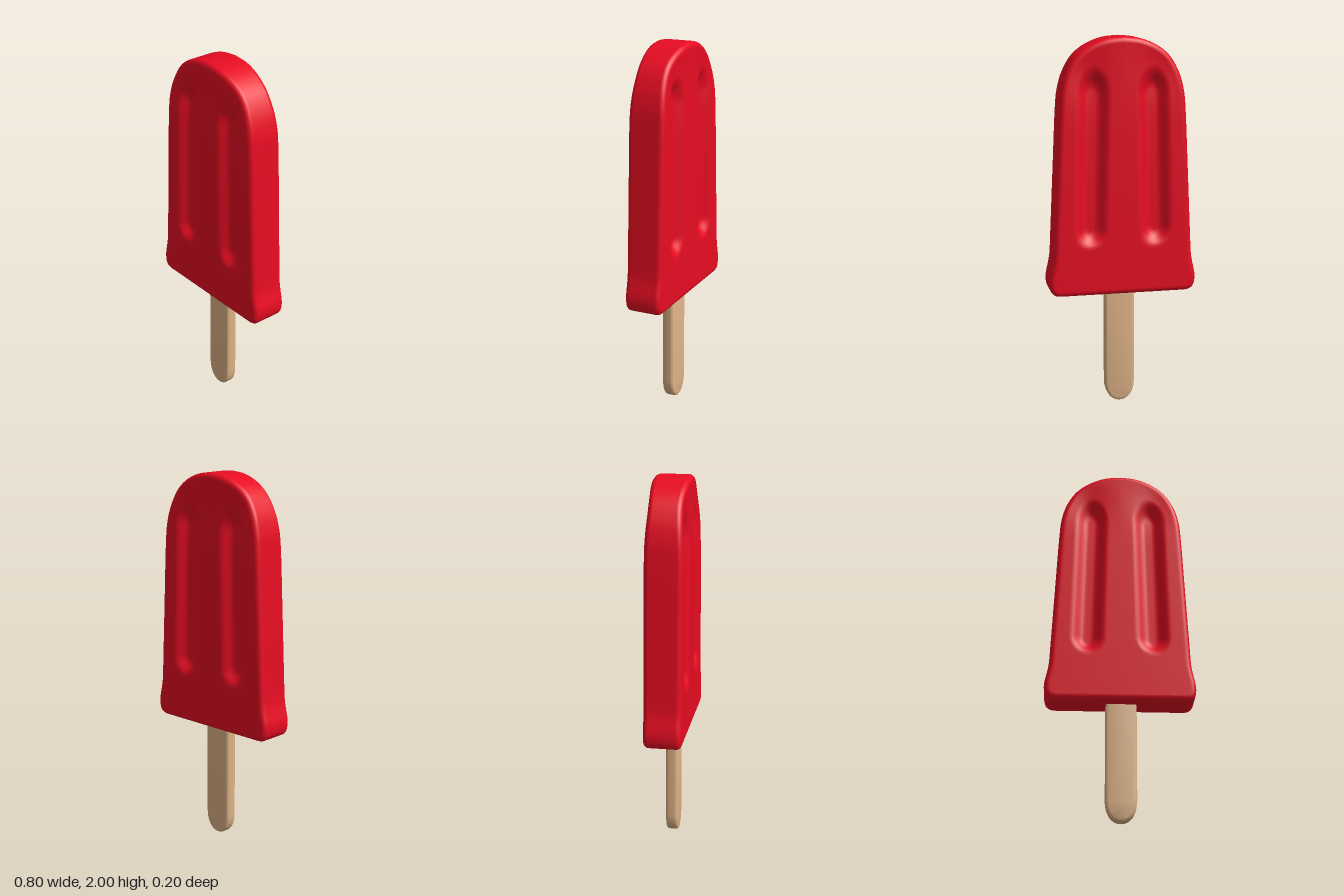
import * as THREE from 'three';
import { mergeVertices, toCreasedNormals } from 'three/addons/utils/BufferGeometryUtils.js';

const HALF = 0.1;    // half thickness of the ice
const ROUND = 0.028; // edge rounding

// How far the face sinks at (x, y): two long grooves plus soft shoulders above them
function faceDepth(x, y) {
  const ax = Math.abs(x);
  const t = THREE.MathUtils.clamp((y - 0.99) / 0.71, 0, 1);
  const dx = (ax - THREE.MathUtils.lerp(0.175, 0.158, t)) / 0.09;
  const over = y > 1.7 ? (y - 1.7) / 0.15 : y < 0.99 ? (0.99 - y) / 0.1 : 0;
  const d = Math.hypot(dx, over);
  const groove = 0.04 * (1 - THREE.MathUtils.smoothstep(d, 0.25, 1));
  const shoulder = 0.014 * Math.exp(-(((ax - 0.2) / 0.11) ** 2) - ((y - 1.83) / 0.14) ** 2);
  return groove + shoulder;
}

function iceGeometry() {
  // Right half of the outline, from the bottom corner up to the top centre
  const curve = new THREE.SplineCurve([
    [0.335, 0.63], [0.365, 0.634], [0.388, 0.652], [0.398, 0.685], [0.397, 0.73], [0.385, 0.785],
    [0.376, 0.84], [0.37, 0.95], [0.353, 1.3], [0.337, 1.62], [0.325, 1.73], [0.298, 1.82],
    [0.25, 1.9], [0.18, 1.955], [0.09, 1.99], [0, 2],
  ].map(([x, y]) => new THREE.Vector2(x, y)));
  const N = 100, COLS = 56;
  const half = [];
  for (let i = 0; i <= N; i++) {
    const p = curve.getPointAt(i / N), tan = curve.getTangentAt(i / N);
    const n = i === 0 ? [0, -1] : i === N ? [0, 1] : [tan.y, -tan.x];
    half.push({ x: p.x, y: p.y, nx: n[0], ny: n[1] });
  }
  const mirrored = half.slice(0, N).reverse().map((p) => ({ ...p, x: -p.x, nx: -p.nx }));
  const loop = [...half, ...mirrored];

  const pos = [], idx = [];
  // Rim: the outline swept through a rounded edge, from front to back
  const profile = [];
  for (let k = 0; k <= 6; k++) profile.push([(1 - k / 6) * Math.PI / 2, 1]);
  for (let k = 0; k <= 6; k++) profile.push([(k / 6) * Math.PI / 2, -1]);
  const L = loop.length;
  profile.forEach(([a, side], j) => {
    for (const p of loop) {
      const inset = ROUND * (1 - Math.cos(a));
      const ix = p.x - p.nx * ROUND, iy = p.y - p.ny * ROUND;
      pos.push(p.x - p.nx * inset, p.y - p.ny * inset,
        side * (HALF - ROUND + ROUND * Math.sin(a) - faceDepth(ix, iy)));
    }
    if (j === 0) return;
    for (let i = 0; i < L; i++) {
      const a0 = (j - 1) * L + i, a1 = (j - 1) * L + (i + 1) % L;
      idx.push(a0, a0 + L, a1, a1, a0 + L, a1 + L);
    }
  });

  // Faces: rows spanning the inset outline from left to right, front and back
  for (const side of [1, -1]) {
    const base = pos.length / 3, W = COLS + 1;
    half.forEach((p, r) => {
      const w = p.x - p.nx * ROUND, y = p.y - p.ny * ROUND;
      for (let c = 0; c <= COLS; c++) {
        const x = w * (2 * c / COLS - 1);
        pos.push(x, y, side * (HALF - faceDepth(x, y)));
      }
      if (r === 0) return;
      for (let c = 0; c < COLS; c++) {
        const a = base + (r - 1) * W + c, b = a + 1, d = a + W, e = d + 1;
        if (side > 0) idx.push(a, b, d, b, e, d);
        else idx.push(a, d, b, b, d, e);
      }
    });
  }
  const g = new THREE.BufferGeometry();
  g.setAttribute('position', new THREE.Float32BufferAttribute(pos, 3));
  g.setIndex(idx);
  const merged = mergeVertices(g, 1e-5);
  merged.computeVertexNormals();
  return merged;
}

// Flat wooden stick with a rounded end and softened edges
function stickGeometry() {
  const b = 0.016, w = 0.082 - b;
  const s = new THREE.Shape();
  s.moveTo(w, 0.74);
  s.lineTo(-w, 0.74);
  s.lineTo(-w, 0.12);
  s.bezierCurveTo(-w, 0.055, -0.04, b, 0, b);
  s.bezierCurveTo(0.04, b, w, 0.055, w, 0.12);
  s.closePath();
  const depth = 0.066 - 2 * b;
  const g = new THREE.ExtrudeGeometry(s, {
    depth, bevelEnabled: true, bevelSize: b, bevelThickness: b, bevelSegments: 4, curveSegments: 14,
  });
  g.translate(0.007, 0, -depth / 2);
  return toCreasedNormals(g, 0.7);
}

export function createModel() {
  const group = new THREE.Group();
  group.name = 'icePop';
  const ice = new THREE.Mesh(iceGeometry(), new THREE.MeshStandardMaterial({ color: 0xe80c22 }));
  ice.name = 'ice';
  const stick = new THREE.Mesh(stickGeometry(), new THREE.MeshStandardMaterial({ color: 0xdeb387 }));
  stick.name = 'stick';
  group.add(ice, stick);
  return group;
}
